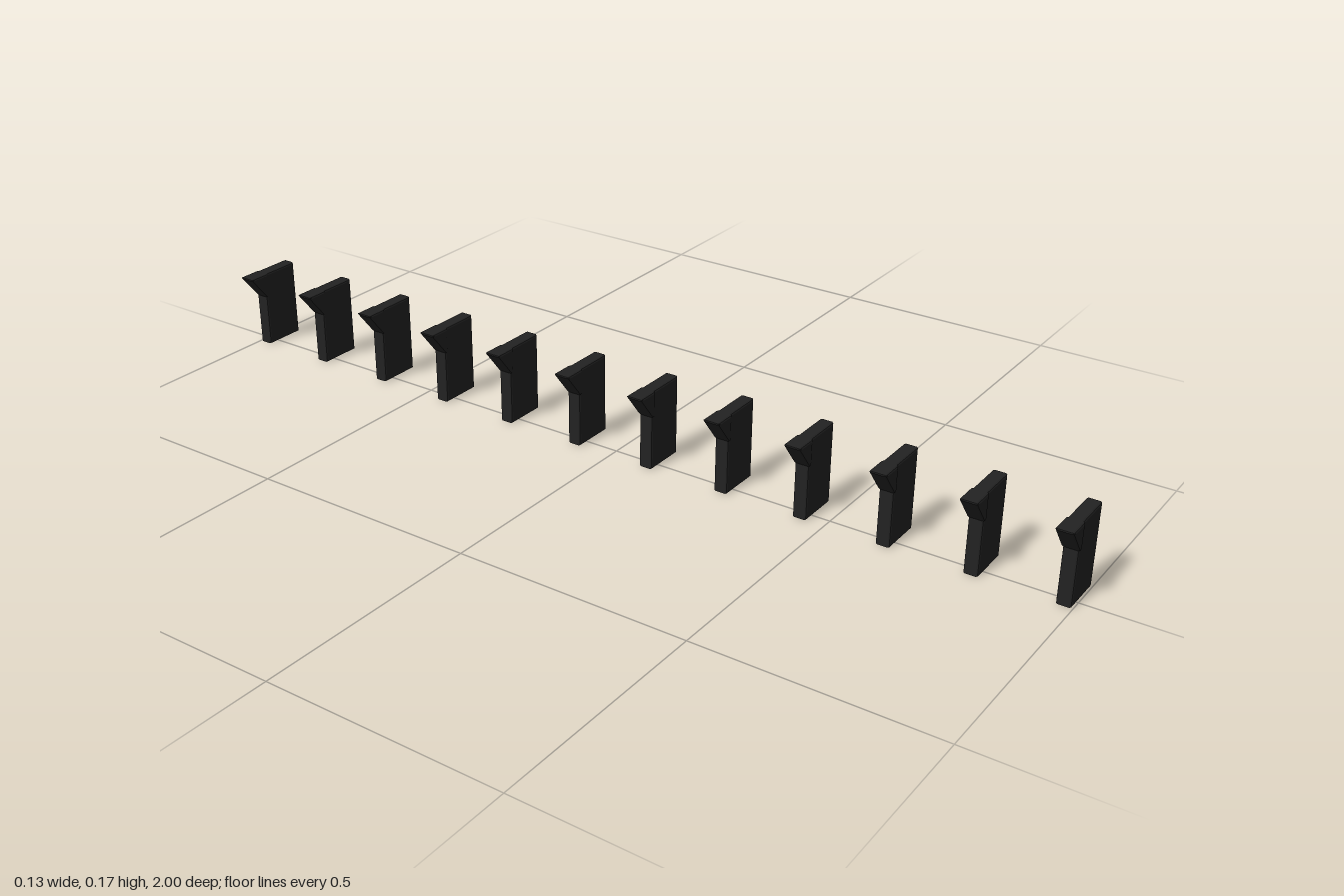
import * as THREE from 'three';

const COUNT = 12;
const FIRST_Z = 0.982;
const BEVEL = 0.004;

// Bevelled plate with the given outline, centred on z = 0
function plate(points, thickness) {
  const shape = new THREE.Shape(points.map(([x, y]) => new THREE.Vector2(x, y)));
  const depth = thickness - 2 * BEVEL;
  const geometry = new THREE.ExtrudeGeometry(shape, {
    depth,
    bevelEnabled: true,
    bevelThickness: BEVEL,
    bevelSize: BEVEL,
    bevelOffset: -BEVEL,
    bevelSegments: 2,
  });
  return geometry.translate(0, 0, -depth / 2);
}

export function createModel() {
  const model = new THREE.Group();
  model.name = 'bracketRow';

  const black = new THREE.MeshStandardMaterial({ color: 0x222222 });
  black.name = 'black';

  // Upright slab, and the slightly thicker slanted lip at its top
  const slab = plate([[-0.025, 0], [0.067, 0], [0.067, 0.173], [-0.025, 0.173]], 0.03);
  const lip = plate([[-0.067, 0.173], [-0.067, 0.17], [-0.025, 0.117], [-0.018, 0.117], [-0.018, 0.173]], 0.036);

  // Evenly spaced row from front to back
  for (let i = 0; i < COUNT; i++) {
    const bracket = new THREE.Group();
    bracket.name = `bracket${i + 1}`;
    const body = new THREE.Mesh(slab, black);
    body.name = 'slab';
    const wedge = new THREE.Mesh(lip, black);
    wedge.name = 'lip';
    bracket.add(body, wedge);
    bracket.position.z = FIRST_Z * (1 - (2 * i) / (COUNT - 1));
    model.add(bracket);
  }
  return model;
}
